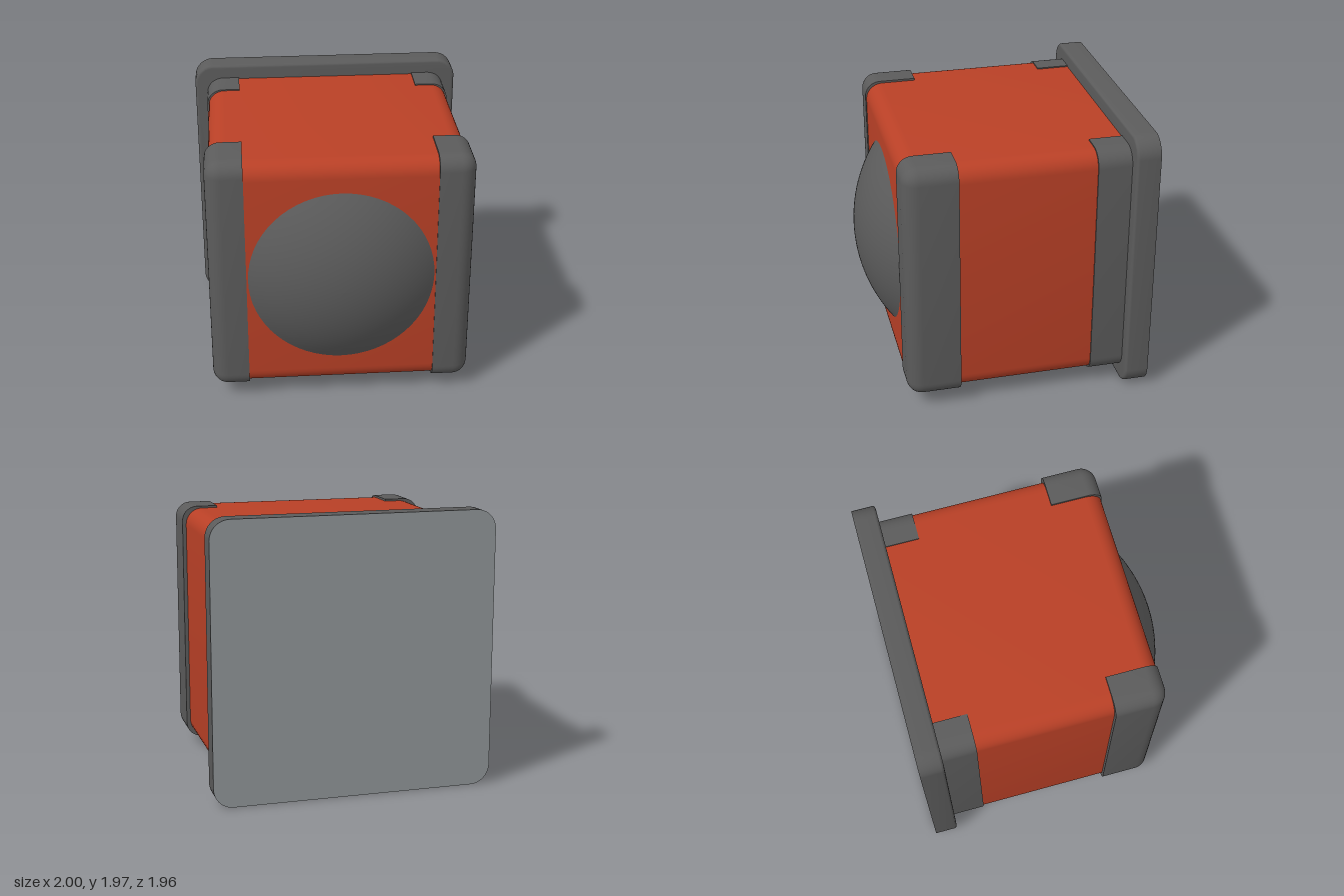
import * as THREE from 'three';
import { toCreasedNormals } from 'three/addons/utils/BufferGeometryUtils.js';
import { RoundedBoxGeometry } from 'three/addons/geometries/RoundedBoxGeometry.js';

const CY = 0.987; // height of the centre line

function material(name, color) {
  const m = new THREE.MeshStandardMaterial({ color });
  m.name = name;
  return m;
}

// Flatten every vertex outside the given limits onto them, which cuts the solid there.
function cut(geometry, { minX = -9, maxX = 9, minZ = -9, maxZ = 9 }) {
  const p = geometry.attributes.position;
  for (let i = 0; i < p.count; i++) {
    p.setX(i, THREE.MathUtils.clamp(p.getX(i), minX, maxX));
    p.setZ(i, THREE.MathUtils.clamp(p.getZ(i), minZ, maxZ));
  }
  return toCreasedNormals(geometry, 0.6);
}

// Rounded box between two depths, centred on the centre line
function block(w, h, z0, z1, r) {
  return new RoundedBoxGeometry(w, h, z1 - z0, 5, r).translate(0, CY, (z0 + z1) / 2);
}

function roundedSquare(w, h, r) {
  const s = new THREE.Shape();
  const x = w / 2, y = h / 2;
  s.absarc(x - r, y - r, r, 0, Math.PI / 2);
  s.absarc(-x + r, y - r, r, Math.PI / 2, Math.PI);
  s.absarc(-x + r, -y + r, r, Math.PI, Math.PI * 1.5);
  s.absarc(x - r, -y + r, r, Math.PI * 1.5, Math.PI * 2);
  s.closePath();
  return s;
}

export function createModel() {
  const model = new THREE.Group();
  const red = material('red', 0xb94026);
  const darkGrey = material('dark grey', 0x5b5b5b);
  const paleGrey = material('pale grey', 0x8f9597);

  const add = (name, geometry, mat) => {
    const mesh = new THREE.Mesh(geometry, mat);
    mesh.name = name;
    model.add(mesh);
  };

  // Red housing, its rear end buried in the back plate
  add('housing', cut(block(1.8, 1.755, -1.1, 0.762, 0.12), { minZ: -0.9 }), red);

  // Corner posts: thick ones at the front, nearly flush ones at the rear
  for (const [side, limits] of [['left', { minX: 0.665 }], ['right', { maxX: -0.665 }]]) {
    add(side + 'FrontPost',
      cut(block(1.855, 1.785, 0.1, 0.769, 0.11), { ...limits, minZ: 0.392 }), darkGrey);
    add(side + 'RearPost',
      cut(block(1.82, 1.772, -1.1, 0.3, 0.12), { ...limits, minZ: -0.9, maxZ: -0.57 }), darkGrey);
  }

  // Shallow dome on the front
  const radius = 0.655, height = 0.22;
  const R = (radius * radius + height * height) / (2 * height);
  const maxAngle = Math.asin(radius / R);
  const profile = [];
  for (let i = 0; i <= 14; i++) {
    const a = maxAngle * (1 - i / 14);
    profile.push(new THREE.Vector2(i === 14 ? 0 : R * Math.sin(a), R * Math.cos(a) - R + height));
  }
  add('dome', new THREE.LatheGeometry(profile, 64).rotateX(Math.PI / 2).translate(0, CY, 0.761), darkGrey);

  // Back plate with a softened front rim and a flat back
  const bevel = 0.02;
  const plate = new THREE.ExtrudeGeometry(
    roundedSquare(2 - 2 * bevel, 1.97 - 2 * bevel, 0.12),
    { depth: 0.15, bevelSize: bevel, bevelThickness: bevel, bevelSegments: 3, curveSegments: 8 });
  plate.translate(0, CY, -0.979);
  add('backPlate', cut(plate, { minZ: -0.979 }), darkGrey);

  // Pale sheet covering the back
  const sheet = new THREE.ShapeGeometry(roundedSquare(2, 1.97, 0.14), 8);
  add('backSheet', sheet.rotateY(Math.PI).translate(0, CY, -0.982), paleGrey);

  return model;
}
